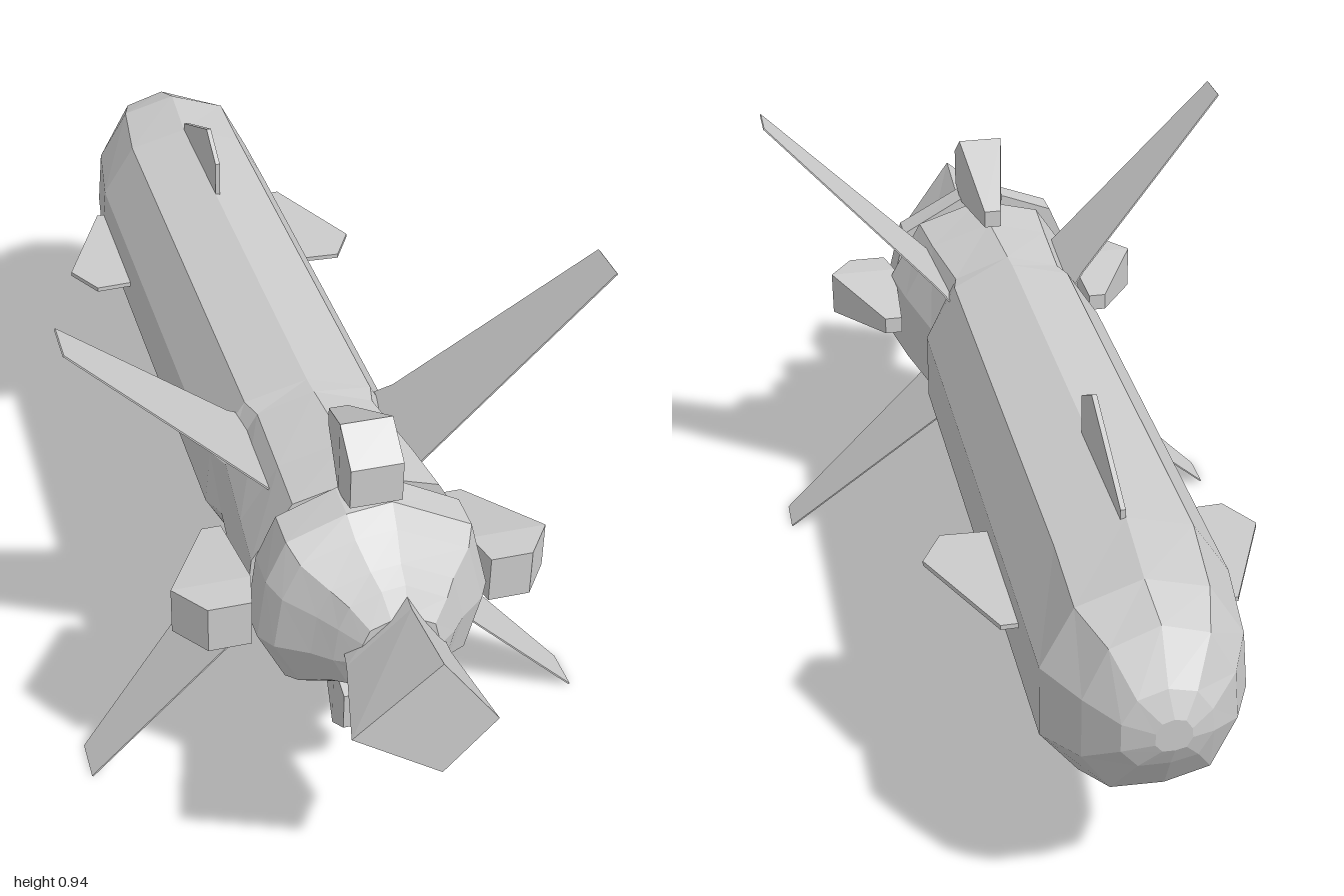
import * as THREE from 'three';

const CY = 0.47; // height of the long axis
const grey = new THREE.MeshStandardMaterial({ color: 0xcccccc });
grey.name = 'light grey';

// Faceted skin through rings of [x, y, z] points, counter-clockwise seen from +z, back to front
function loft(name, rings) {
  const pos = [];
  const n = rings[0].length;
  const tri = (a, b, c) => pos.push(...a, ...b, ...c);
  for (let r = 0; r < rings.length - 1; r++) {
    const a = rings[r], b = rings[r + 1];
    for (let i = 0; i < n; i++) {
      const j = (i + 1) % n;
      tri(a[i], a[j], b[j]);
      tri(a[i], b[j], b[i]);
    }
  }
  const first = rings[0], last = rings[rings.length - 1];
  for (let i = 1; i < n - 1; i++) {
    tri(last[0], last[i], last[i + 1]);
    tri(first[0], first[i + 1], first[i]);
  }
  const g = new THREE.BufferGeometry();
  g.setAttribute('position', new THREE.Float32BufferAttribute(pos, 3));
  g.computeVertexNormals();
  const mesh = new THREE.Mesh(g, grey);
  mesh.name = name;
  return mesh;
}

// Stretches an outline into the box x0..x1, y0..y1 at depth z
function fit(outline, [z, x0, x1, y0, y1]) {
  const xs = outline.map(p => p[0]), ys = outline.map(p => p[1]);
  const ax = Math.min(...xs), bx = Math.max(...xs), ay = Math.min(...ys), by = Math.max(...ys);
  return outline.map(([x, y]) => [
    x0 + (x - ax) / (bx - ax) * (x1 - x0),
    y0 + (y - ay) / (by - ay) * (y1 - y0), z]);
}

// Flat plate in the radius/z plane, lying along +x, with thickness t
function plate(name, points, t) {
  const g = new THREE.ExtrudeGeometry(
    new THREE.Shape(points.map(([r, z]) => new THREE.Vector2(r, -z))),
    { depth: t, bevelEnabled: false });
  g.translate(0, 0, -t / 2).rotateX(-Math.PI / 2);
  const mesh = new THREE.Mesh(g, grey);
  mesh.name = name;
  return mesh;
}

// Four copies of a part around the long axis
function aroundAxis(group, make, name, start) {
  for (let i = 0; i < 4; i++) {
    const holder = new THREE.Group();
    holder.name = name + (i + 1);
    holder.add(make());
    holder.position.set(-0.005, CY, 0);
    holder.rotation.z = start + i * Math.PI / 2;
    group.add(holder);
  }
}

export function createModel() {
  const group = new THREE.Group();
  group.name = 'missile';

  // Long faceted body, domed at the back and slightly flared at the front
  const bodyOutline = [
    [0.17, 0.375], [0.17, 0.51], [0.11, 0.62], [-0.01, 0.66], [-0.125, 0.63],
    [-0.19, 0.53], [-0.2, 0.42], [-0.14, 0.31], [-0.03, 0.285], [0.1, 0.29]];
  const bodyRings = [
    [-1, -0.04, 0.02, 0.44, 0.5],
    [-0.98, -0.08, 0.07, 0.4, 0.545],
    [-0.925, -0.135, 0.12, 0.315, 0.625],
    [-0.84, -0.175, 0.17, 0.287, 0.655],
    [-0.67, -0.2, 0.17, 0.287, 0.66],
    [0.3, -0.2, 0.17, 0.29, 0.66],
    [0.34, -0.18, 0.155, 0.285, 0.66],
    [0.5, -0.195, 0.185, 0.275, 0.665],
    [0.61, -0.205, 0.2, 0.27, 0.67]];
  group.add(loft('body', bodyRings.map(r => fit(bodyOutline, r))));

  // Collar, separated from the body by a narrow gap, tapering to a neck
  const collarOutline = [
    [0.2, 0.46], [0.165, 0.6], [0.02, 0.68], [-0.06, 0.67], [-0.165, 0.63],
    [-0.2, 0.55], [-0.215, 0.43], [-0.165, 0.325], [0.04, 0.265], [0.17, 0.335]];
  const collarRings = [
    [0.625, -0.205, 0.2, 0.268, 0.68],
    [0.69, -0.205, 0.2, 0.275, 0.675],
    [0.725, -0.185, 0.18, 0.3, 0.645],
    [0.77, -0.135, 0.13, 0.345, 0.61],
    [0.8, -0.105, 0.105, 0.365, 0.59],
    [0.83, -0.07, 0.07, 0.41, 0.55]];
  group.add(loft('collar', collarRings.map(r => fit(collarOutline, r))));
  const core = new THREE.Mesh(new THREE.CylinderGeometry(0.14, 0.14, 0.06, 8), grey);
  core.name = 'gapCore';
  core.rotation.x = Math.PI / 2;
  core.position.set(0, CY, 0.618);
  group.add(core);

  // Four-sided nozzle, widening to the front
  const nozzleOutline = [[0.11, 0.46], [0.01, 0.6], [-0.135, 0.475], [0.02, 0.363]];
  group.add(loft('nozzle', [
    fit(nozzleOutline, [0.78, -0.085, 0.085, 0.385, 0.575]),
    fit(nozzleOutline, [0.84, -0.095, 0.085, 0.385, 0.575]),
    fit(nozzleOutline, [1, -0.135, 0.11, 0.363, 0.6])]));

  // Large thin wings on the diagonals
  const wing = [[0.17, 0.28], [0.22, 0.31], [0.663, 0.44], [0.663, 0.52], [0.17, 0.52]];
  aroundAxis(group, () => plate('wingPlate', wing, 0.003), 'wing', Math.PI / 4);

  // Small fins near the domed end
  const fin = [[0.16, -0.67], [0.205, -0.67], [0.302, -0.455], [0.26, -0.38], [0.16, -0.385]];
  aroundAxis(group, () => plate('finPlate', fin, 0.009), 'rearFin', 0);

  // Wedge-shaped blocks around the collar, narrowing toward the body
  const wedgeOutline = [[0.33, -0.045], [0.33, 0.045], [0.2, 0.045], [0.2, -0.045]];
  const wedge = () => loft('wedgeBlock', [
    fit(wedgeOutline, [0.46, 0.205, 0.24, -0.022, 0.012]),
    fit(wedgeOutline, [0.63, 0.195, 0.333, -0.045, 0.045]),
    fit(wedgeOutline, [0.695, 0.21, 0.285, -0.045, 0.045])]);
  aroundAxis(group, wedge, 'collarWedge', 0);

  return group;
}
